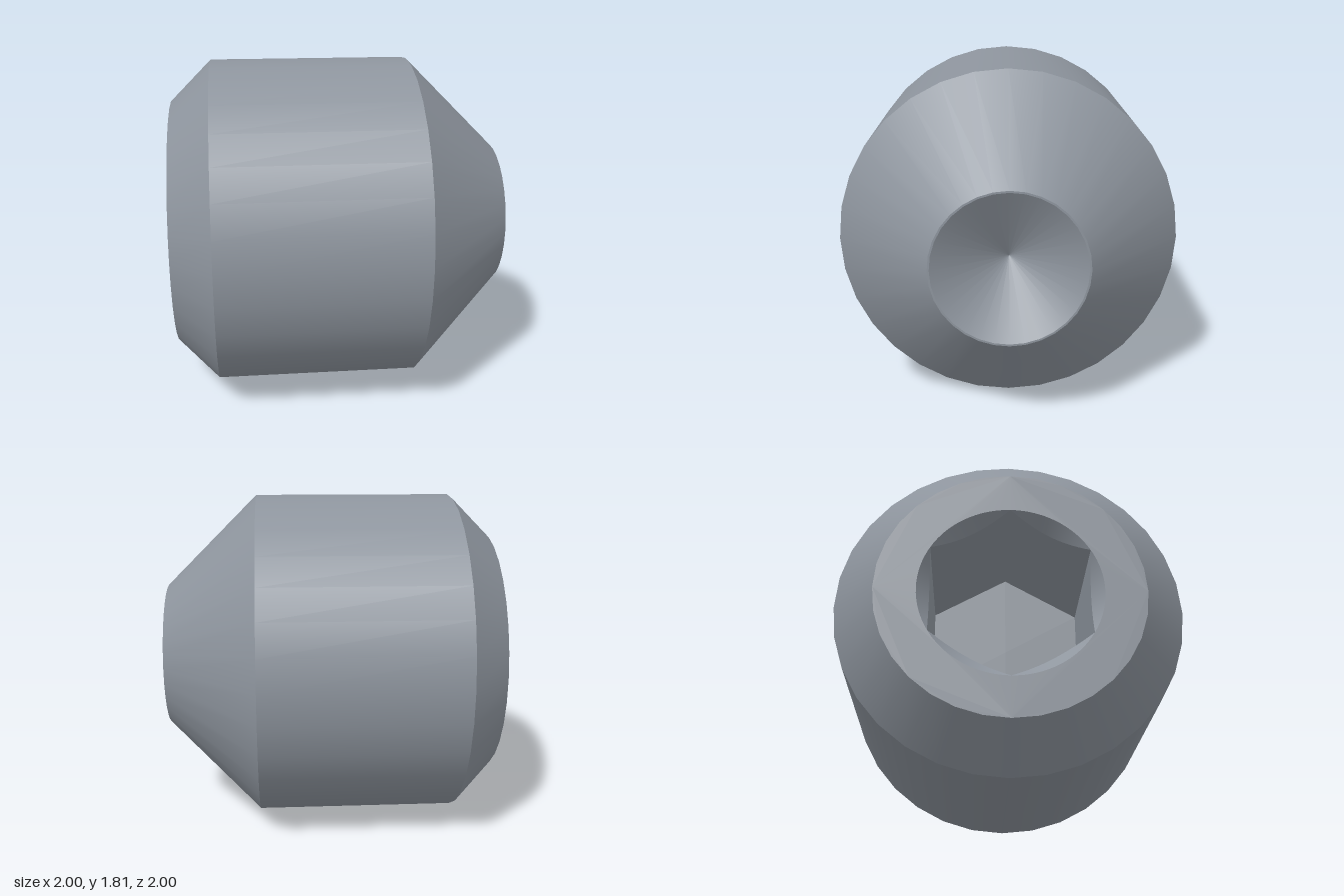
import * as THREE from 'three';
import { toCreasedNormals } from 'three/addons/utils/BufferGeometryUtils.js';

const SIDES = 32;
const R_BODY = 0.905, R_FACE = 0.685, R_SOCKET = 0.47, R_TIP = 0.4, R_CUP = 0.39;
const Y_FACE = -0.872, Y_CHAMFER = -0.652, Y_SHOULDER = 0.43, Y_TIP = 0.938, Y_APEX = 0.715;
const SOCKET_DEPTH = 0.73;

const circle = (r, n) => Array.from({ length: n }, (_, i) => {
  const t = (i / n) * Math.PI * 2;
  return new THREE.Vector2(r * Math.cos(t), r * Math.sin(t));
});

// Hex recess with a 45 degree countersink that cuts arcs into its flats
function socketGeometry() {
  const n = 96, apothem = R_SOCKET * Math.cos(Math.PI / 6);
  const column = (i) => {
    const t = (i / n) * Math.PI * 2;
    const local = (t % (Math.PI / 3)) - Math.PI / 6;
    const h = Math.min(R_SOCKET, apothem / Math.cos(local));
    const at = (r, depth) => [r * Math.cos(t), Y_FACE + depth, r * Math.sin(t)];
    return [at(R_SOCKET, 0), at(h, R_SOCKET - h), at(h, SOCKET_DEPTH)];
  };
  const pos = [];
  for (let i = 0; i < n; i++) {
    const a = column(i), b = column((i + 1) % n);
    for (let k = 0; k < 2; k++) {
      pos.push(...a[k], ...b[k], ...a[k + 1], ...b[k], ...b[k + 1], ...a[k + 1]);
    }
  }
  const g = new THREE.BufferGeometry();
  g.setAttribute('position', new THREE.Float32BufferAttribute(pos, 3));
  return toCreasedNormals(g, Math.PI / 6);
}

export function createModel() {
  const steel = new THREE.MeshStandardMaterial({ color: 0x8e959e });
  steel.name = 'steel grey';

  const screw = new THREE.Group();
  screw.name = 'setScrew';
  const add = (name, geometry) => {
    const mesh = new THREE.Mesh(geometry, steel);
    mesh.name = name;
    screw.add(mesh);
  };

  // Turned sections, each its own lathe so the rims stay sharp
  const sections = [
    ['socketEndChamfer', R_FACE, Y_FACE, R_BODY, Y_CHAMFER],
    ['body', R_BODY, Y_CHAMFER, R_BODY, Y_SHOULDER],
    ['taperedPoint', R_BODY, Y_SHOULDER, R_TIP, Y_TIP],
    ['tipLip', R_TIP, Y_TIP, R_CUP, Y_TIP],
    ['cup', R_CUP, Y_TIP, 0, Y_APEX],
  ];
  for (const [name, r0, y0, r1, y1] of sections) {
    add(name, new THREE.LatheGeometry(
      [new THREE.Vector2(r0, y0), new THREE.Vector2(r1, y1)], SIDES));
  }

  // Flat end face around the socket
  const ring = new THREE.Shape(circle(R_FACE, SIDES));
  ring.holes.push(new THREE.Path(circle(R_SOCKET, 96)));
  add('endFace', new THREE.ShapeGeometry(ring).rotateX(Math.PI / 2).translate(0, Y_FACE, 0));

  // Hex socket and its floor
  add('hexSocket', socketGeometry());
  add('socketFloor', new THREE.CircleGeometry(R_SOCKET, 6)
    .rotateX(Math.PI / 2).translate(0, Y_FACE + SOCKET_DEPTH, 0));

  // Lay the axis down along +x, then turn the point slightly to the front
  screw.rotation.z = -Math.PI / 2;
  const model = new THREE.Group();
  model.name = 'model';
  model.add(screw);
  model.rotation.y = THREE.MathUtils.degToRad(-12.1);
  model.position.set(-0.004, R_BODY, 0.02);

  const root = new THREE.Group();
  root.name = 'cupPointSetScrew';
  root.add(model);
  return root;
}
